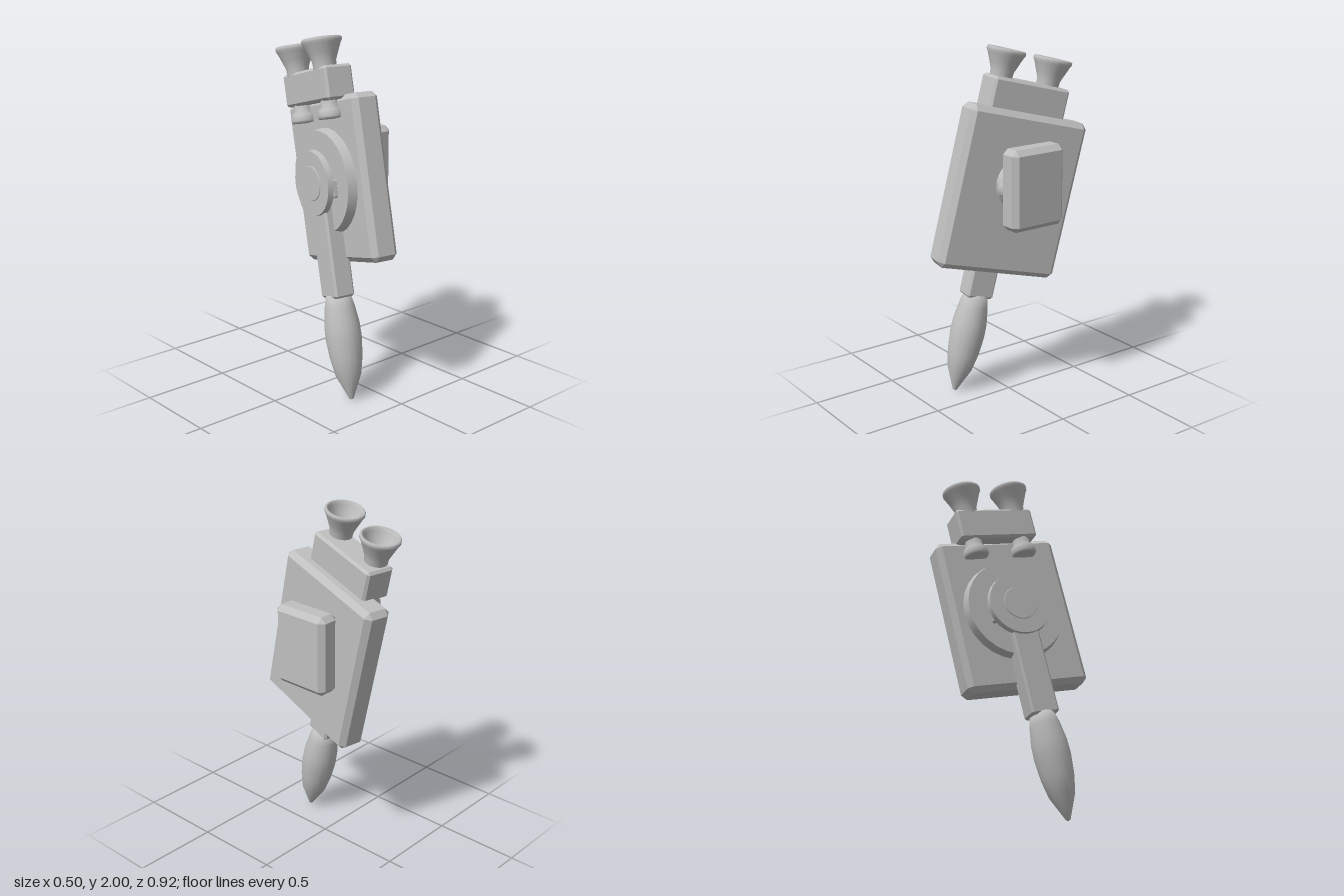
import * as THREE from 'three';
import { ConvexGeometry } from 'three/addons/geometries/ConvexGeometry.js';

const grey = new THREE.MeshStandardMaterial({ color: 0xbfbfbf });
grey.name = 'light grey';

// Box with every edge and corner cut off by b
function chamferBox(w, h, d, b) {
  const pts = [];
  for (const sx of [-1, 1]) for (const sy of [-1, 1]) for (const sz of [-1, 1]) {
    const [x, y, z] = [w / 2, h / 2, d / 2];
    pts.push(new THREE.Vector3(sx * x, sy * (y - b), sz * (z - b)));
    pts.push(new THREE.Vector3(sx * (x - b), sy * y, sz * (z - b)));
    pts.push(new THREE.Vector3(sx * (x - b), sy * (y - b), sz * z));
  }
  return new ConvexGeometry(pts);
}

const lathe = (pts, seg) =>
  new THREE.LatheGeometry(pts.map(([r, y]) => new THREE.Vector2(r, y)), seg);

// Disc whose axis runs along x, from x0 (radius r0) to x1 (radius r1)
function discX(x0, x1, r0, r1, seg = 28) {
  const g = new THREE.CylinderGeometry(r0, r1, x1 - x0, seg);
  g.rotateZ(Math.PI / 2);
  g.translate((x0 + x1) / 2, 0, 0);
  return g;
}

function add(parent, name, geometry, x = 0, y = 0, z = 0) {
  const mesh = new THREE.Mesh(geometry, grey);
  mesh.name = name;
  mesh.position.set(x, y, z);
  parent.add(mesh);
  return mesh;
}

export function createModel() {
  const model = new THREE.Group();
  model.name = 'model';

  // Everything but the pad leans back and turns a little
  const pack = new THREE.Group();
  pack.name = 'tiltedPack';
  pack.position.y = 1.195;
  pack.rotation.set(THREE.MathUtils.degToRad(-14), THREE.MathUtils.degToRad(-10), 0, 'YXZ');
  model.add(pack);

  add(pack, 'bodyPlate', chamferBox(0.165, 0.91, 0.735, 0.03));

  // Round turntable with hub on the outer side
  add(pack, 'turntable', discX(-0.135, -0.07, 0.285, 0.3, 28));
  add(pack, 'hubNeck', discX(-0.17, -0.13, 0.145, 0.145));
  add(pack, 'hubDisc', discX(-0.195, -0.163, 0.18, 0.185));
  add(pack, 'hubCap', discX(-0.199, -0.19, 0.095, 0.1));
  for (const s of [-1, 1]) {
    add(pack, 'hubLug', chamferBox(0.035, 0.1, 0.05, 0.008), -0.148, -0.04, s * 0.145);
  }

  // Arm and pointed tip
  add(pack, 'arm', chamferBox(0.125, 0.56, 0.165, 0.012), -0.117, -0.365, 0);
  add(pack, 'armTip', lathe([
    [0, -1.23], [0.012, -1.225], [0.072, -1.09], [0.092, -0.99], [0.102, -0.88],
    [0.1, -0.8], [0.085, -0.7], [0.068, -0.63], [0, -0.62],
  ], 20), -0.117, 0, 0);

  // Top block with cups above and bells below
  add(pack, 'topBlock', chamferBox(0.175, 0.185, 0.475, 0.014), -0.072, 0.5275, 0);
  for (const z of [0.15, -0.15]) {
    add(pack, 'cup', lathe([
      [0.062, 0.6], [0.066, 0.65], [0.082, 0.69], [0.103, 0.74], [0.111, 0.752],
      [0.111, 0.766], [0.104, 0.773], [0.095, 0.768], [0.09, 0.75],
      [0.066, 0.695], [0.038, 0.66], [0, 0.66],
    ], 20), -0.103, 0, z);
    add(pack, 'bell', lathe([
      [0, 0.335], [0.066, 0.338], [0.074, 0.352], [0.068, 0.385],
      [0.05, 0.405], [0.046, 0.46],
    ], 18), -0.103, 0, z);
  }

  // Upright pad on the opposite side with its round mount
  add(model, 'pad', chamferBox(0.135, 0.455, 0.35, 0.03), 0.183, 1.262, -0.028);
  add(model, 'padMount', discX(0.066, 0.13, 0.135, 0.135, 24), 0, 1.262, 0);
  const knob = add(model, 'mountKnob', new THREE.SphereGeometry(0.055, 12, 8), 0.105, 1.255, 0.105);
  knob.scale.set(0.75, 1, 0.7);

  return model;
}
